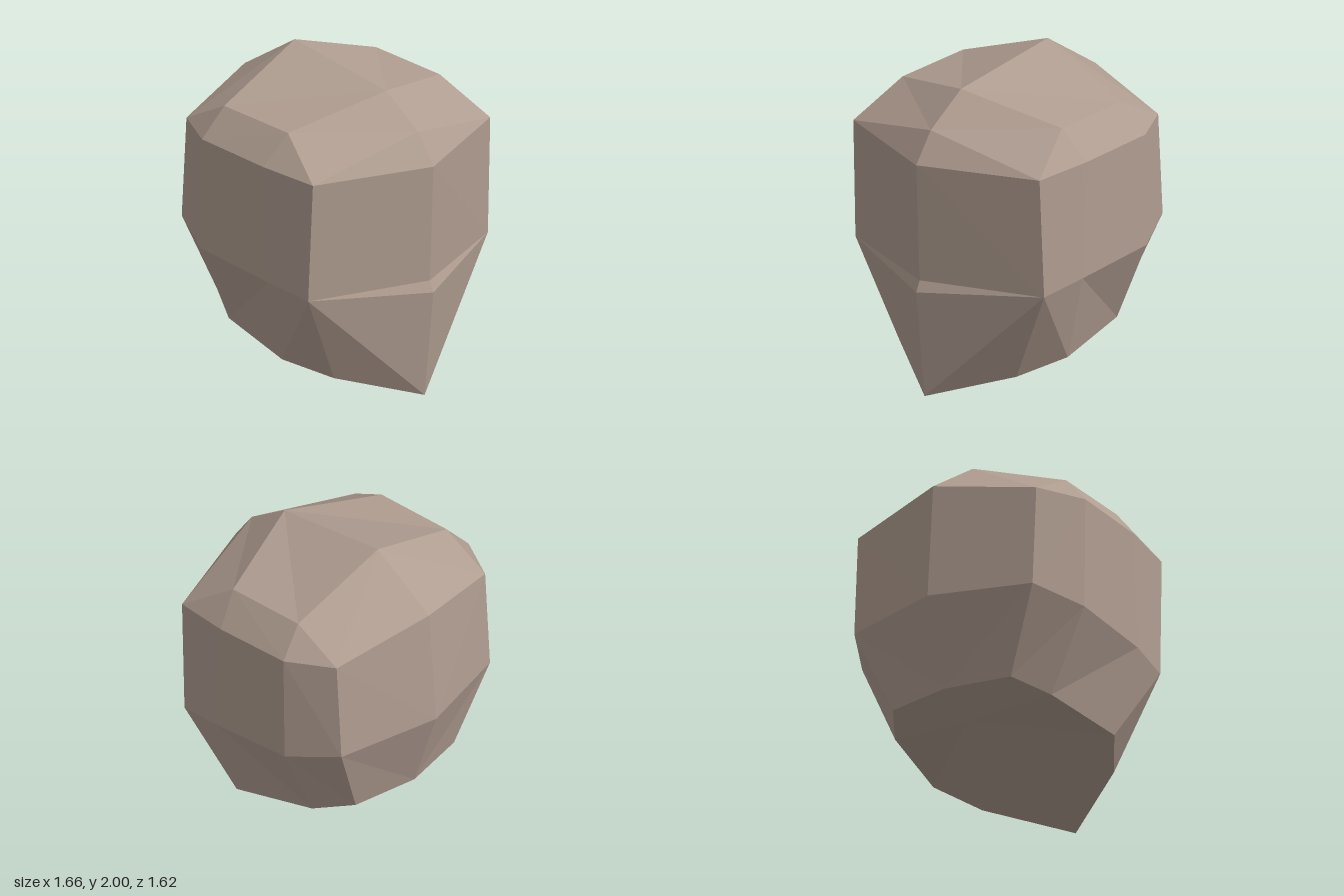
import * as THREE from 'three';

export function createModel() {
  const group = new THREE.Group();
  const skin = new THREE.MeshStandardMaterial({ color: 0xb09d91, flatShading: true });
  skin.name = 'clay skin';

  // Half contours of the head, each running from the face (+x) round to the back (-x)
  const brow = [[0.83, 1.51, 0], [0.56, 1.53, 0.76], [0.19, 1.56, 0.81],
    [-0.33, 1.59, 0.81], [-0.62, 1.6, 0.65], [-0.77, 1.72, 0]];
  const cheek = [[0.8, 0.76, 0], [0.53, 0.77, 0.77], [0.23, 0.82, 0.81],
    [-0.34, 0.875, 0.81], [-0.66, 0.95, 0.65], [-0.83, 0.97, 0]];
  const jaw = [[0.755, 0, 0], [0.46, 0.165, 0.48], [0.2, 0.265, 0.66],
    [-0.34, 0.35, 0.57], [-0.57, 0.42, 0.43], [-0.65, 0.42, 0]];

  // Extra points on the middle line, and the upper corners of the skull
  const forehead = [0.7, 1.7, 0], ridgeFront = [0.43, 1.89, 0], ridgeBack = [-0.345, 2, 0];
  const lip = [0.83, 0.69, 0], throat = [0.23, 0.085, 0], neck = [-0.38, 0.31, 0];
  const cornerFront = [0.24, 1.75, 0.65], cornerBack = [-0.3, 1.77, 0.65];

  const [b0, b1, , , b4, b5] = brow;
  const [c0, c1, c2, c3, c4, c5] = cheek;
  const [j0, j1, j2, j3, j4, j5] = jaw;

  // Strips between an upper and a lower contour; repeated points make triangles
  const parts = {
    crown: [
      [[b0, forehead, ridgeFront, ridgeBack, b5], [b1, b1, cornerFront, cornerBack, b4]],
      [[b1, cornerFront, cornerBack, b4], brow.slice(1, 5)],
    ],
    face: [[brow, cheek]],
    jaw: [
      [[c0, c1], [lip, c1]],
      [[lip, c1, c1, c1, c2, c3, c4, c5], [j0, j0, j1, j2, j2, j3, j4, j5]],
    ],
    underside: [[[j0, j1, j2, j3, j4], [j0, throat, throat, neck, j5]]],
  };

  for (const [name, strips] of Object.entries(parts)) {
    const positions = [];
    const addTriangle = (a, b, c) => {
      if (a === b || b === c || a === c) return;
      positions.push(...a, ...b, ...c);
      // mirrored half, with the corner order reversed
      for (const [x, y, z] of [a, c, b]) positions.push(x, y, -z);
    };
    for (const [upper, lower] of strips) {
      for (let i = 0; i < upper.length - 1; i++) {
        addTriangle(upper[i], upper[i + 1], lower[i + 1]);
        addTriangle(upper[i], lower[i + 1], lower[i]);
      }
    }
    const geometry = new THREE.BufferGeometry();
    geometry.setAttribute('position', new THREE.Float32BufferAttribute(positions, 3));
    geometry.computeVertexNormals();
    const mesh = new THREE.Mesh(geometry, skin);
    mesh.name = name;
    group.add(mesh);
  }

  group.name = 'head';
  return group;
}
